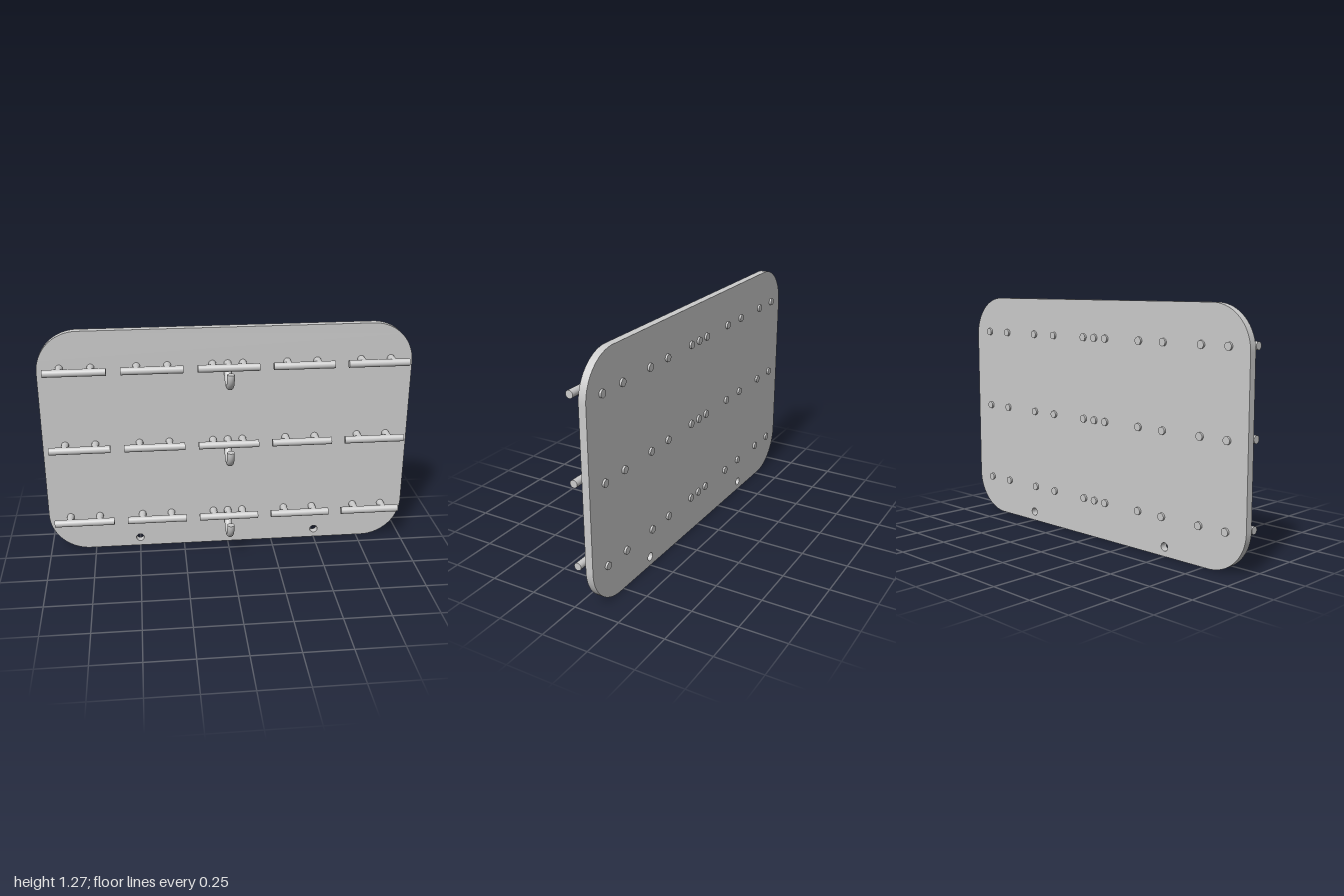
import * as THREE from 'three';

const material = new THREE.MeshStandardMaterial({ color: 0xcccccc });
const WIDTH = 2, HEIGHT = 1.275, CORNER = 0.22;
const PANEL_BACK = -0.115, PANEL_DEPTH = 0.04;
const ROD = 0.02, PEG_BACK = -0.126;
const HOOK_RADIUS = 0.09, HOOK_Z = 0.018;

function add(parent, name, geometry, x = 0, y = 0, z = 0) {
  const mesh = new THREE.Mesh(geometry, material);
  mesh.name = name;
  mesh.position.set(x, y, z);
  parent.add(mesh);
  return mesh;
}

// Rounded board with two round mounting holes near the bottom edge
function panelGeometry() {
  const w = WIDTH / 2, h = HEIGHT, r = CORNER;
  const shape = new THREE.Shape();
  shape.absarc(w - r, r, r, -Math.PI / 2, 0);
  shape.absarc(w - r, h - r, r, 0, Math.PI / 2);
  shape.absarc(r - w, h - r, r, Math.PI / 2, Math.PI);
  shape.absarc(r - w, r, r, Math.PI, Math.PI * 1.5);
  for (const x of [-0.5, 0.5]) {
    shape.holes.push(new THREE.Path().absarc(x, 0.05, 0.022, 0, Math.PI * 2, true));
  }
  return new THREE.ExtrudeGeometry(shape, { depth: PANEL_DEPTH, bevelEnabled: false, curveSegments: 24 });
}

export function createModel() {
  const model = new THREE.Group();
  model.name = 'wallRack';
  add(model, 'panel', panelGeometry(), 0, 0, PANEL_BACK);

  const barGeometry = new THREE.CylinderGeometry(ROD, ROD, 0.326, 32).rotateZ(Math.PI / 2);
  const pegGeometry = new THREE.CylinderGeometry(ROD, ROD, -PEG_BACK, 32).rotateX(Math.PI / 2);
  // Lower half ring lying in the yz plane
  const hookGeometry = new THREE.TorusGeometry(HOOK_RADIUS, ROD, 24, 40, Math.PI)
    .rotateZ(Math.PI).rotateY(Math.PI / 2);
  const tipGeometry = new THREE.CircleGeometry(ROD, 24).rotateX(-Math.PI / 2);

  for (const y of [0.203, 0.64, 1.077]) {
    const row = new THREE.Group();
    row.name = 'row';
    row.position.y = y;
    model.add(row);

    // Five bars, each carried on two pegs that pass through the panel
    for (const x of [-0.8, -0.4, 0, 0.4, 0.8]) {
      add(row, 'bar', barGeometry, x);
      for (const side of [-1, 1]) add(row, 'peg', pegGeometry, x + side * 0.081, 0, PEG_BACK / 2);
    }

    // Central hook with its own peg and a flat tip
    add(row, 'hookPeg', pegGeometry, 0, 0, PEG_BACK / 2);
    add(row, 'hook', hookGeometry, 0, 0, HOOK_Z);
    add(row, 'hookTip', tipGeometry, 0, 0, HOOK_Z + HOOK_RADIUS);
  }
  return model;
}
